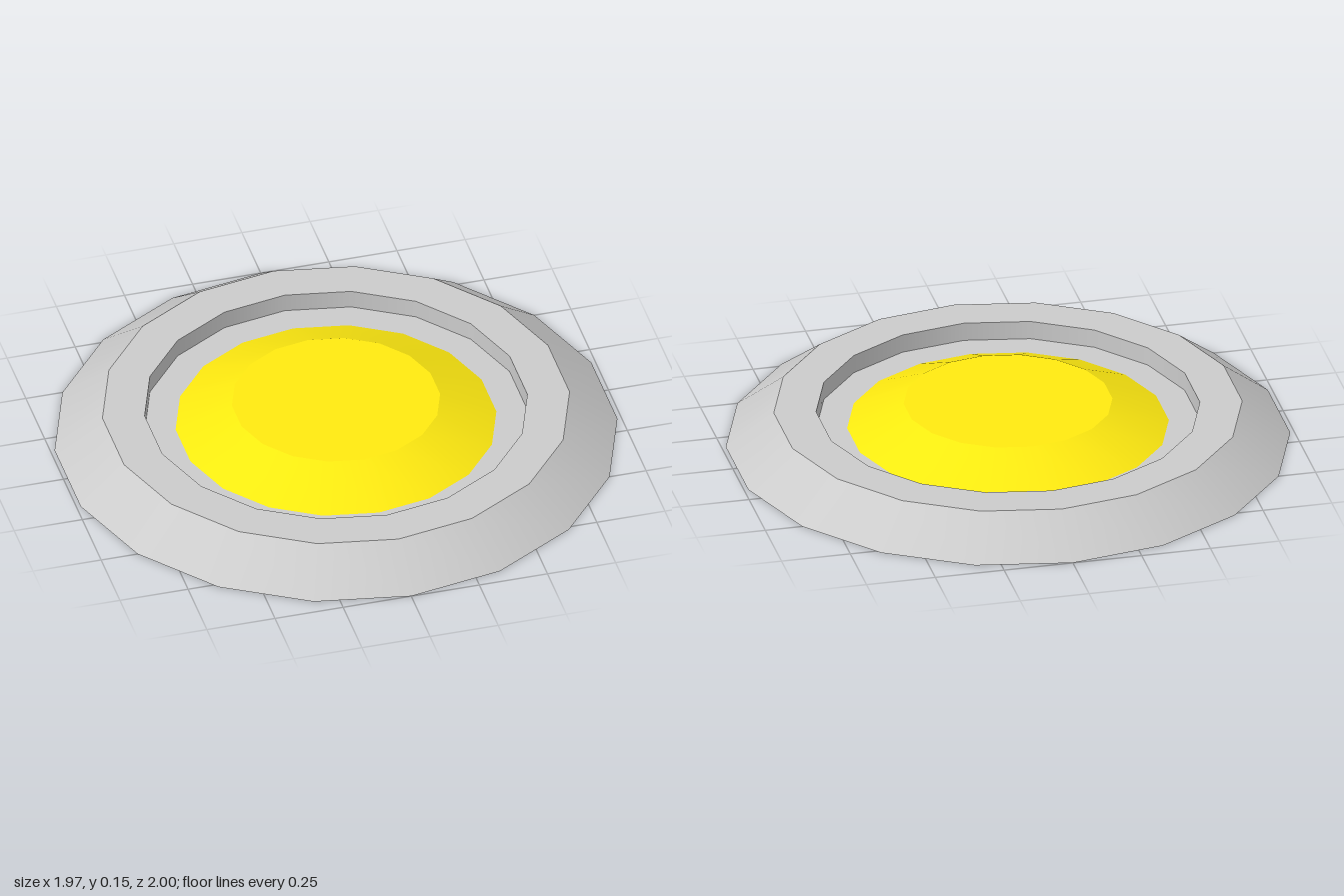
import * as THREE from 'three';
import { mergeGeometries } from 'three/addons/utils/BufferGeometryUtils.js';

const SIDES = 18;

// Revolves each profile segment on its own: smooth around, sharp between bands
function revolve(profile) {
  const bands = [];
  for (let i = 0; i < profile.length - 1; i++) {
    const pair = [profile[i], profile[i + 1]].map(([r, y]) => new THREE.Vector2(r, y));
    bands.push(new THREE.LatheGeometry(pair, SIDES));
  }
  return mergeGeometries(bands);
}

function part(name, profile, color) {
  const mesh = new THREE.Mesh(revolve(profile), new THREE.MeshStandardMaterial({ color }));
  mesh.name = name;
  return mesh;
}

export function createModel() {
  const group = new THREE.Group();
  group.name = 'roundButton';

  // Bevelled base with a sunken floor inside the rim
  group.add(part('baseRing', [
    [0, 0], [1, 0], [0.83, 0.13], [0.68, 0.13], [0.68, 0.062], [0, 0.062],
  ], 0xcccccc));

  // Flat-topped yellow cap resting on the floor
  group.add(part('yellowCap', [
    [0.57, 0.062], [0.37, 0.153], [0, 0.153],
  ], 0xffea10));

  return group;
}
